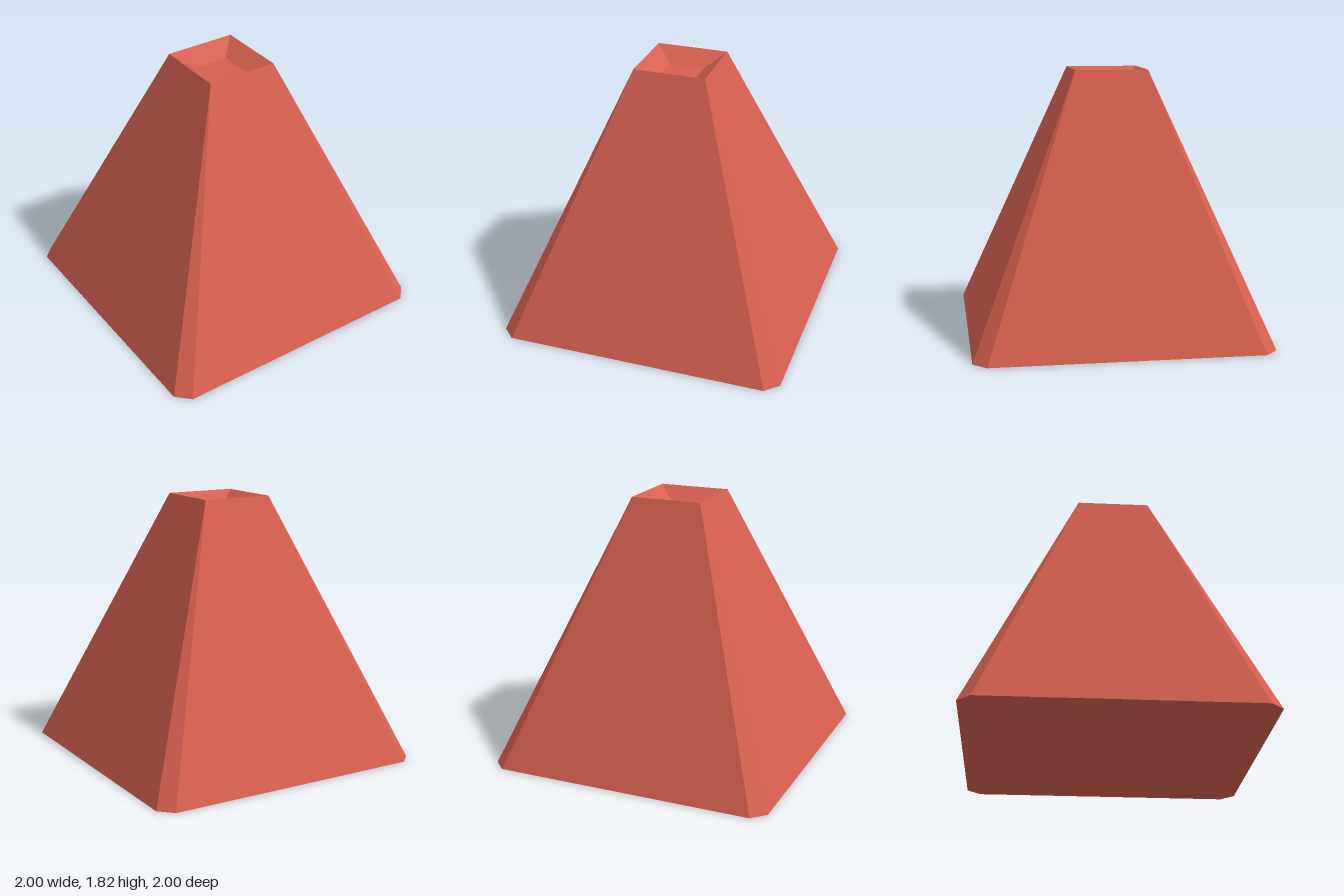
import * as THREE from 'three';

// Square ring with chamfered corners, counter-clockwise seen from above
function ring(half, chamfer, y) {
  const points = [];
  let corner = [[half, chamfer - half], [half - chamfer, -half]];
  for (let k = 0; k < 4; k++) {
    for (const [x, z] of corner) points.push(new THREE.Vector3(x, y, z));
    corner = corner.map(([x, z]) => [z, -x]);
  }
  return points;
}

// Joins successive rings with flat faces, skipping collapsed triangles
function loft(rings) {
  const positions = [];
  const triangle = new THREE.Triangle();
  const add = (a, b, c) => {
    if (triangle.set(a, b, c).getArea() < 1e-6) return;
    for (const p of [a, b, c]) positions.push(p.x, p.y, p.z);
  };
  for (let r = 0; r < rings.length - 1; r++) {
    const lower = rings[r], upper = rings[r + 1];
    for (let i = 0; i < 8; i++) {
      const j = (i + 1) % 8;
      add(lower[i], lower[j], upper[j]);
      add(lower[i], upper[j], upper[i]);
    }
  }
  const geometry = new THREE.BufferGeometry();
  geometry.setAttribute('position', new THREE.Float32BufferAttribute(positions, 3));
  geometry.computeVertexNormals();
  return geometry;
}

export function createModel() {
  const group = new THREE.Group();
  group.name = 'hollowToppedPyramid';
  const red = new THREE.MeshStandardMaterial({ color: 0xd66050 });
  red.name = 'warm red';
  red.flatShading = true;

  const addPart = (name, rings) => {
    const mesh = new THREE.Mesh(loft(rings), red);
    mesh.name = name;
    group.add(mesh);
  };

  const rim = ring(0.25, 0, 1.82);
  // Closed underside and sloping sides, whose corner chamfers taper to the rim
  addPart('body', [ring(0, 0, 0), ring(1, 0.09, 0), rim]);
  // Shallow recess in the top
  addPart('topRecess', [rim, ring(0.125, 0, 1.73), ring(0, 0, 1.73)]);
  return group;
}
